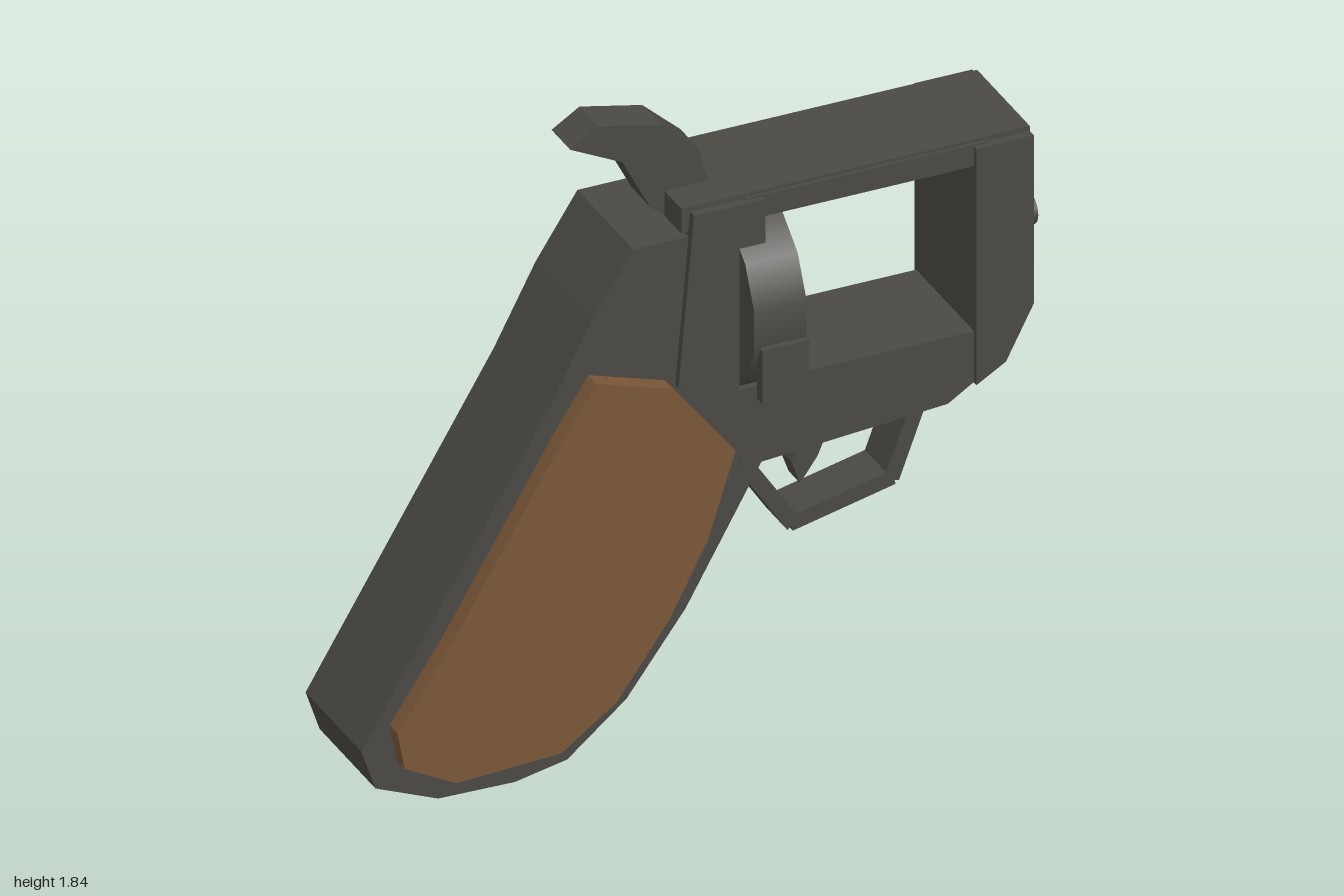
import * as THREE from 'three';

export function createModel() {
  const model = new THREE.Group();
  model.name = 'handgunFrame';
  const steel = new THREE.MeshStandardMaterial({ color: 0x4a4944, flatShading: true });
  const smoothSteel = new THREE.MeshStandardMaterial({ color: 0x4a4944 });
  const darkSteel = new THREE.MeshStandardMaterial({ color: 0x242422 });
  const wood = new THREE.MeshStandardMaterial({ color: 0x7a5638, flatShading: true });

  const add = (name, geometry, material) => {
    const mesh = new THREE.Mesh(geometry, material);
    mesh.name = name;
    model.add(mesh);
    return mesh;
  };
  // Side outline (x, y) extruded from z0 to z1
  const slab = (name, points, z0, z1, material = steel) => {
    const shape = new THREE.Shape(points.map(([x, y]) => new THREE.Vector2(x, y)));
    const geometry = new THREE.ExtrudeGeometry(shape, { depth: z1 - z0, bevelEnabled: false });
    return add(name, geometry.translate(0, 0, z0), material);
  };
  const rect = (x0, y0, x1, y1) => [[x0, y0], [x1, y0], [x1, y1], [x0, y1]];

  // Grip core and rear of the frame
  slab('gripFrame', [
    [-0.22, 1.515], [-0.34, 1.33], [-0.46, 1.1], [-1, 0.2], [-0.96, 0.08], [-0.78, 0.005],
    [-0.56, 0], [-0.41, 0.03], [-0.24, 0.17], [-0.07, 0.4], [0.15, 0.79], [0.06, 1.1], [0, 1.515],
  ], -0.18, 0.16);

  // Wooden grip panels on both sides
  const panel = [
    [-0.35, 1.17], [-0.46, 1], [-0.76, 0.5], [-0.92, 0.26], [-0.9, 0.15], [-0.75, 0.07],
    [-0.45, 0.085], [-0.29, 0.2], [-0.14, 0.41], [-0.03, 0.62], [0.05, 0.87], [-0.13, 1.1],
  ];
  slab('leftGripPanel', panel, 0.155, 0.21, wood);
  slab('rightGripPanel', panel, -0.225, -0.175, wood);

  // Frame around the window
  slab('rearFrame', [
    [-0.055, 1.585], [-0.1, 1.08], [0.04, 0.88], [0.03, 0.81], [0.15, 0.845], [0.15, 1.03],
    [0.075, 1.03], [0.075, 1.45], [0.15, 1.45], [0.15, 1.585],
  ], -0.19, 0.18);
  slab('topStrap', rect(-0.08, 1.525, 0.92, 1.6), -0.165, 0.155);
  slab('topStrapSides', rect(0.1, 1.525, 0.8, 1.59), -0.185, 0.165);
  slab('lowerFrame', [
    [0.02, 1.03], [0.09, 0.785], [0.68, 0.83], [0.76, 0.88], [0.76, 1.03],
  ], -0.185, 0.165);
  slab('frontFrame', [
    [0.755, 1.585], [0.755, 0.875], [0.84, 0.925], [0.92, 1.08], [0.92, 1.585],
  ], -0.195, 0.18);

  // Round shield with its thumb latch, and the pin at the front
  const cylinder = (name, r, x0, x1, sides, y) => {
    const geometry = new THREE.CylinderGeometry(r, r, x1 - x0, sides);
    geometry.rotateZ(-Math.PI / 2).rotateX(Math.PI / 2).translate((x0 + x1) / 2, y, -0.005);
    return add(name, geometry, smoothSteel);
  };
  cylinder('roundShield', 0.282, 0.075, 0.225, 14, 1.25);
  cylinder('frontPin', 0.043, 0.9, 1, 12, 1.25);
  slab('thumbLatch', rect(0.09, 1.04, 0.225, 1.2), 0.255, 0.288);

  // Hammer and trigger
  slab('hammer', [
    [-0.35, 1.79], [-0.2, 1.715], [-0.12, 1.56], [-0.05, 1.5], [0.045, 1.5], [0.045, 1.6],
    [0.02, 1.7], [-0.09, 1.8], [-0.27, 1.84],
  ], -0.062, 0.052);
  slab('trigger', [
    [0.35, 0.82], [0.345, 0.77], [0.295, 0.68], [0.32, 0.61], [0.37, 0.68], [0.43, 0.82],
  ], -0.04, 0.03);

  // Trigger guard made of three straight bars
  const guard = [[0.11, 0.78], [0.285, 0.515], [0.57, 0.58], [0.67, 0.85]];
  for (let i = 0; i < 3; i++) {
    const [x0, y0] = guard[i], [x1, y1] = guard[i + 1];
    const bar = new THREE.BoxGeometry(Math.hypot(x1 - x0, y1 - y0) + 0.01, 0.045, 0.13);
    bar.rotateZ(Math.atan2(y1 - y0, x1 - x0));
    add('triggerGuardBar' + (i + 1), bar.translate((x0 + x1) / 2, (y0 + y1) / 2, -0.005), steel);
  }

  // Screws on the right side
  [[0.84, 1.18], [0.23, 0.89], [0.06, 1.11]].forEach(([x, y], i) => {
    const screw = new THREE.CylinderGeometry(0.026, 0.026, 0.05, 8);
    add('screw' + (i + 1), screw.rotateX(Math.PI / 2).translate(x, y, -0.195), darkSteel);
  });

  return model;
}
